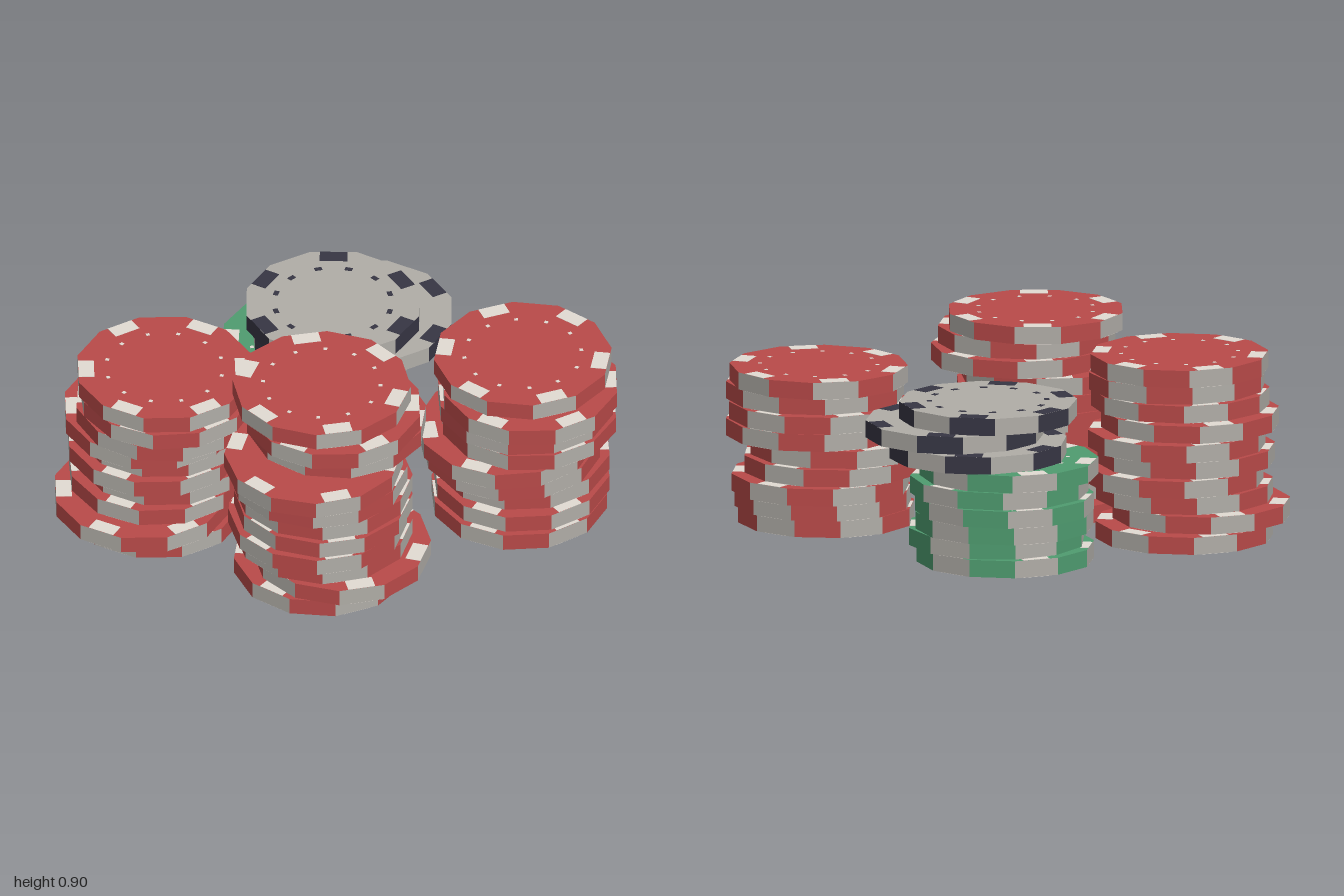
import * as THREE from 'three';
import { mergeGeometries } from 'three/addons/utils/BufferGeometryUtils.js';

const R = 0.38, H = 0.074, SIDES = 12;

const mat = (name, color) => {
  const m = new THREE.MeshStandardMaterial({ color });
  m.name = name;
  return m;
};

// Twelve-sided disc; group 0 = body (caps and odd facets), group 1 = edge stripes
function discGeometry() {
  const g = new THREE.CylinderGeometry(R, R, H, SIDES).toNonIndexed();
  g.computeVertexNormals();
  g.clearGroups();
  for (let i = 0; i < SIDES; i++) g.addGroup(i * 6, 6, i % 2 ? 0 : 1);
  g.addGroup(SIDES * 6, SIDES * 6, 0);
  return g;
}

// Ring of thin plates laid on the given faces of a chip (1 = top, -1 = bottom)
function plateRing(faces, count, start, radius, width, depth) {
  const parts = [];
  for (let i = 0; i < count; i++) {
    for (const s of faces) {
      parts.push(new THREE.BoxGeometry(width, 0.004, depth)
        .translate(0, s * (H / 2 - 0.0008), radius)
        .rotateY(start + i * 2 * Math.PI / count));
    }
  }
  return mergeGeometries(parts);
}

// Each stack: base height and chips as [x, z, turn in degrees], bottom to top;
// gaps lists the chips that sit a little above the one below
const STACKS = [
  { name: 'frontLeftStack', y: 0.01, color: 'red', gaps: { 2: 0.02 }, chips: [
    [-0.56, 0.53, 0], [-0.56, 0.62, 0], [-0.56, 0.53, 2], [-0.56, 0.48, 0], [-0.56, 0.54, 0],
    [-0.56, 0.49, 0], [-0.56, 0.56, 0], [-0.49, 0.56, -4], [-0.465, 0.56, 4], [-0.485, 0.56, 0]] },
  { name: 'frontMiddleStack', y: 0.01, color: 'red', gaps: { 2: 0.025, 8: 0.025 }, chips: [
    [0.24, 0.35, -8], [0.315, 0.31, -18], [0.25, 0.355, -17], [0.26, 0.40, -17], [0.265, 0.37, -19],
    [0.25, 0.355, -17], [0.25, 0.385, -20], [0.255, 0.42, -15],
    [0.23, 0.245, -8], [0.245, 0.29, 0], [0.18, 0.29, -20]] },
  { name: 'backRightStack', y: 0.03, color: 'red', gaps: { 8: 0.008 }, chips: [
    [0.535, -0.555, 3], [0.525, -0.58, 3], [0.49, -0.62, 2], [0.485, -0.56, 5], [0.485, -0.53, 6],
    [0.535, -0.615, 0], [0.52, -0.61, 2], [0.56, -0.595, 0], [0.485, -0.63, -10]] },
  { name: 'greenStack', y: 0, color: 'green', gaps: {}, chips: [
    [-0.445, -0.33, 0], [-0.41, -0.35, 6], [-0.48, -0.36, 0], [-0.495, -0.37, -4], [-0.47, -0.38, -4],
    [-0.5, -0.35, -4]] },
  { name: 'greyStack', y: 0.463, color: 'grey', gaps: {}, chips: [
    [-0.42, -0.455, -28], [-0.32, -0.505, -31], [-0.39, -0.38, -32]] },
];

export function createModel() {
  const red = mat('chipRed', 0xb94a49);
  const green = mat('chipGreen', 0x4f9c70);
  const grey = mat('chipGrey', 0xb0ada7);
  const light = mat('inlayLight', 0xe2dbd3);
  const navy = mat('inlayNavy', 0x373644);
  const looks = {
    red: { body: red, stripe: grey, inlay: light },
    green: { body: green, stripe: grey, inlay: light },
    grey: { body: grey, stripe: navy, inlay: navy },
  };

  const disc = discGeometry();
  const apothem = R * Math.cos(Math.PI / SIDES);
  const patches = plateRing([-1, 1], 6, Math.PI / 12, apothem - 0.034, 0.118, 0.067);
  const dots = {
    small: plateRing([1], 12, 0, 0.25, 0.016, 0.016),
    large: plateRing([1], 12, 0, 0.25, 0.032, 0.022),
  };

  const part = (name, geometry, material) => {
    const m = new THREE.Mesh(geometry, material);
    m.name = name;
    return m;
  };

  const model = new THREE.Group();
  model.name = 'chipStacks';
  for (const s of STACKS) {
    const stack = new THREE.Group();
    stack.name = s.name;
    const { body, stripe, inlay } = looks[s.color];
    let y = s.y;
    s.chips.forEach(([x, z, turn], i) => {
      y += s.gaps[i] ?? 0;
      const chip = new THREE.Group();
      chip.name = 'chip';
      chip.add(
        part('chipDisc', disc, [body, stripe]),
        part('edgeInlays', patches, inlay),
      );
      // dots only where the chip face is exposed
      if (i === s.chips.length - 1) {
        chip.add(part('innerDots', s.color === 'grey' ? dots.large : dots.small, inlay));
      }
      chip.position.set(x, y + H / 2, z);
      chip.rotation.y = THREE.MathUtils.degToRad(turn);
      stack.add(chip);
      y += H + 0.0025;
    });
    model.add(stack);
  }
  return model;
}
